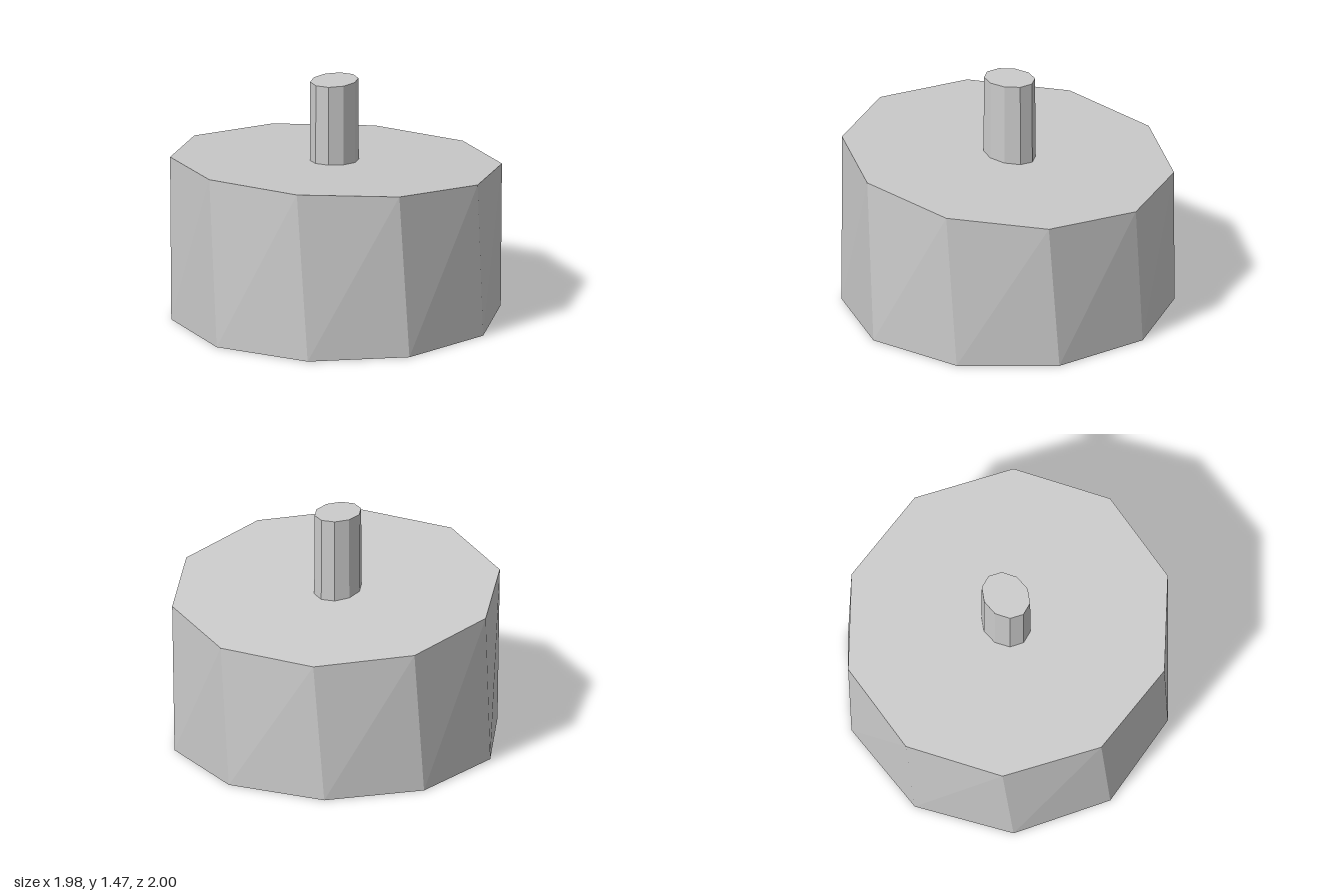
import * as THREE from 'three';

const SIDES = 10;
const rad = THREE.MathUtils.degToRad;

export function createModel() {
  const group = new THREE.Group();
  const material = new THREE.MeshStandardMaterial({ color: 0xcccccc, flatShading: true });

  const add = (name, geometry) => {
    geometry.computeVertexNormals();
    const mesh = new THREE.Mesh(geometry, material);
    mesh.name = name;
    group.add(mesh);
  };

  // Drum: ten-sided, upper ring twisted a little and cut by a sloping plane
  const drum = new THREE.CylinderGeometry(1.003, 1.003, 1, SIDES, 1, false, rad(-5.8));
  const p = drum.attributes.position;
  const v = new THREE.Vector3();
  const up = new THREE.Vector3(0, 1, 0);
  for (let i = 0; i < p.count; i++) {
    v.fromBufferAttribute(p, i);
    if (v.y > 0) {
      v.applyAxisAngle(up, rad(-3.8));
      v.y = 0.961 + 0.0225 * v.x + 0.0867 * v.z;
    } else {
      v.y = 0;
    }
    p.setXYZ(i, v.x, v.y, v.z);
  }
  add('drum', drum);

  // Stem: slim oval post, sunk slightly into the sloping top
  const stem = new THREE.CylinderGeometry(0.162, 0.165, 0.565, SIDES, 1, false, rad(-4));
  stem.scale(0.82, 1, 1);
  stem.translate(-0.015, 1.1825, -0.002);
  add('stem', stem);

  return group;
}
